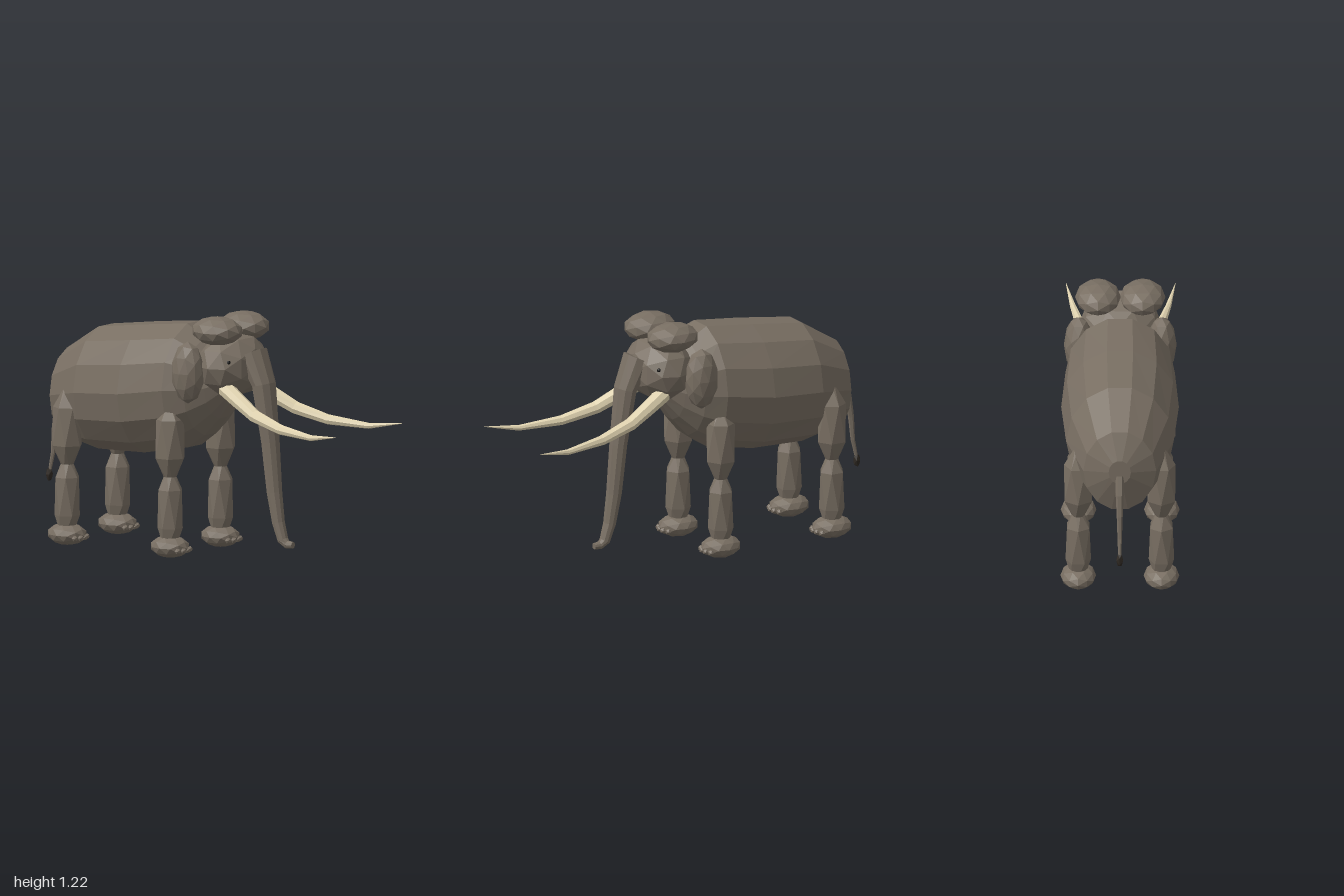
import * as THREE from 'three';

const material = color => new THREE.MeshStandardMaterial({ color, flatShading: true });
const hide = material(0x786e62);
const ivory = material(0xe0d3b0);
const dark = material(0x2e2822);
const black = material(0x111111);

// Skin through elliptical rings [x, y, z, ru, rv]; u stays close to the x axis.
// twist turns every next ring; axis fixes the ring plane instead of following the path.
function loft(rings, sides, { twist = 0, axis = null } = {}) {
  const centres = rings.map(r => new THREE.Vector3(r[0], r[1], r[2]));
  const pos = [], idx = [], last = rings.length - 1;
  rings.forEach((r, k) => {
    const t = axis ? axis.clone()
      : centres[Math.min(k + 1, last)].clone().sub(centres[Math.max(k - 1, 0)]).normalize();
    const u = new THREE.Vector3(1, 0, 0).addScaledVector(t, -t.x).normalize();
    const v = t.clone().cross(u);
    for (let i = 0; i < sides; i++) {
      const a = i / sides * Math.PI * 2 + k * twist;
      const p = centres[k].clone().addScaledVector(u, Math.cos(a) * r[3]).addScaledVector(v, Math.sin(a) * (r[4] ?? r[3]));
      pos.push(p.x, p.y, p.z);
    }
  });
  const base = rings.length * sides;
  pos.push(...centres[0].toArray(), ...centres[last].toArray());
  for (let i = 0; i < sides; i++) {
    const j = (i + 1) % sides;
    for (let k = 0; k < last; k++) {
      const a = k * sides + i, b = k * sides + j;
      idx.push(a, b, a + sides, b, b + sides, a + sides);
    }
    idx.push(base, j, i, base + 1, last * sides + i, last * sides + j);
  }
  const g = new THREE.BufferGeometry();
  g.setAttribute('position', new THREE.Float32BufferAttribute(pos, 3));
  g.setIndex(idx);
  g.computeVertexNormals();
  return g;
}

export function createModel() {
  const group = new THREE.Group();
  const add = (name, geometry, mat = hide, parent = group) => {
    const m = new THREE.Mesh(geometry, mat);
    m.name = name;
    parent.add(m);
    return m;
  };
  const blob = (name, [x, y, z], [rx, ry, rz], mat = hide, detail = 1, parent = group) => {
    const m = add(name, new THREE.IcosahedronGeometry(1, detail), mat, parent);
    m.position.set(x, y, z);
    m.scale.set(rx, ry, rz);
    return m;
  };

  // Barrel body, rear to front: z, bottom, top, half width
  const body = [
    [-0.90, 0.69, 0.82, 0.055],
    [-0.84, 0.51, 0.95, 0.18],
    [-0.63, 0.47, 1.08, 0.265],
    [-0.34, 0.48, 1.12, 0.29],
    [-0.08, 0.53, 1.15, 0.27],
    [0.02, 0.60, 1.09, 0.225],
    [0.10, 0.69, 1.02, 0.16],
    [0.17, 0.79, 0.98, 0.10],
  ].map(([z, lo, hi, w]) => [0, (lo + hi) / 2, z, w, (hi - lo) / 2 * 1.025]);
  add('body', loft(body, 14, { axis: new THREE.Vector3(0, 0, 1) }));

  // Head
  blob('head', [0, 0.965, 0.16], [0.21, 0.165, 0.16]);

  // Trunk with a small forward hook at the tip
  add('trunk', loft([
    [0, 1.03, 0.28, 0.08, 0.075],
    [0, 0.88, 0.35, 0.068, 0.055],
    [0, 0.60, 0.39, 0.05, 0.045],
    [0, 0.35, 0.415, 0.04],
    [0, 0.20, 0.44, 0.033],
    [0, 0.115, 0.468, 0.028],
    [0, 0.095, 0.495, 0.021],
    [0, 0.095, 0.53, 0.016],
  ], 10));

  // Tail and tuft
  add('tail', loft([
    [0, 0.73, -0.89, 0.022],
    [0, 0.64, -0.925, 0.02],
    [0, 0.53, -0.945, 0.015],
    [0, 0.41, -0.955, 0.011],
    [0, 0.32, -0.975, 0.008],
  ], 6));
  blob('tailTuft', [0, 0.30, -0.978], [0.019, 0.038, 0.019], dark, 0);

  for (const [side, s] of [['left', 1], ['right', -1]]) {
    // Crown lobes, ears, eyes
    blob(side + 'CrownLobe', [s * 0.11, 1.142, 0.145], [0.113, 0.073, 0.135]);
    blob(side + 'Ear', [s * 0.205, 0.935, 0.035], [0.073, 0.155, 0.087]);
    blob(side + 'Eye', [s * 0.15, 0.997, 0.245], [0.012, 0.012, 0.012], black);

    // Tusks sweep forward and outward, then rise at the tips
    add(side + 'Tusk', loft([
      [s * 0.115, 0.86, 0.20, 0.042],
      [s * 0.14, 0.81, 0.30, 0.038],
      [s * 0.165, 0.75, 0.42, 0.033],
      [s * 0.195, 0.705, 0.60, 0.026],
      [s * 0.235, 0.69, 0.82, 0.015],
      [s * 0.27, 0.715, 1.0, 0.001],
    ], 8), ivory);

    for (const [end, z, top] of [['Front', -0.075, 0.77], ['Rear', -0.712, 0.79]]) {
      // Faceted two-part leg, pinched at the knee
      const leg = new THREE.Group();
      leg.name = side + end + 'Leg';
      leg.position.set(s * 0.205, 0, z);
      group.add(leg);
      const twist = { twist: Math.PI / 6 };
      add('upperLeg', loft([
        [0, 0.39, 0, 0.026],
        [0, 0.50, 0, 0.078],
        [0, 0.69, 0, 0.07],
        [0, top, 0, 0.015],
      ], 6, twist), hide, leg);
      add('lowerLeg', loft([
        [0, 0.42, 0, 0.026],
        [0, 0.34, 0, 0.063],
        [0, 0.15, 0, 0.063],
        [0, 0.07, 0, 0.04],
      ], 6, twist), hide, leg);
      // Foot pad and toenails
      blob('foot', [0, 0.056, 0], [0.088, 0.056, 0.105], hide, 1, leg);
      for (const tx of [-0.048, -0.017, 0.017, 0.048]) {
        blob('toe', [tx, 0.045, 0.103 - Math.abs(tx) * 0.4], [0.017, 0.016, 0.016], hide, 0, leg);
      }
    }
  }
  return group;
}
